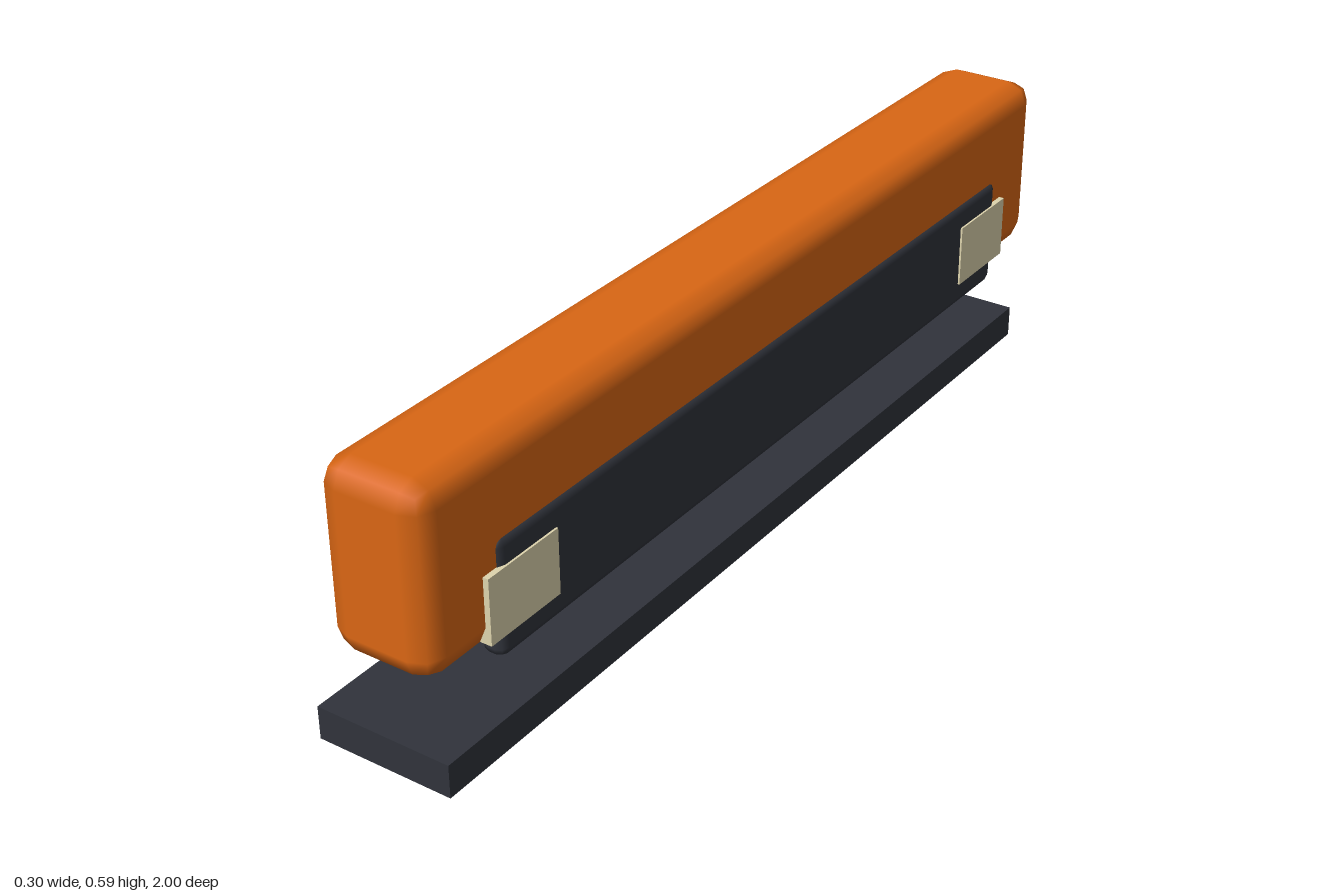
import * as THREE from 'three';
import { RoundedBoxGeometry } from 'three/addons/geometries/RoundedBoxGeometry.js';

const mat = (color) => new THREE.MeshStandardMaterial({ color });

export function createModel() {
  const model = new THREE.Group();
  const orange = mat(0xd96614), dark = mat(0x30333b), cream = mat(0xddd3ad);

  // Block given by its min and max corners, with an optional bevel radius
  const block = (name, material, min, max, radius = 0) => {
    const [w, h, d] = max.map((v, i) => v - min[i]);
    const geometry = radius
      ? new RoundedBoxGeometry(w, h, d, 1, radius)
      : new THREE.BoxGeometry(w, h, d);
    const mesh = new THREE.Mesh(geometry, material);
    mesh.name = name;
    mesh.position.set(...max.map((v, i) => (v + min[i]) / 2));
    model.add(mesh);
  };

  // Bevelled main bar and the dark insert on its left side
  block('mainBar', orange, [-0.073, 0.232, -1], [0.138, 0.591, 1], 0.045);
  block('sideInsert', dark, [0.095, 0.195, -0.83], [0.145, 0.424, 0.83], 0.018);

  // Pale plates at both ends of the insert
  block('frontPlate', cream, [0.11, 0.245, 0.68], [0.149, 0.373, 0.86]);
  block('backPlate', cream, [0.11, 0.245, -0.86], [0.149, 0.373, -0.68]);

  // Separate slab below
  block('lowerSlab', dark, [-0.149, 0, -0.962], [0.131, 0.066, 0.962]);

  return model;
}
